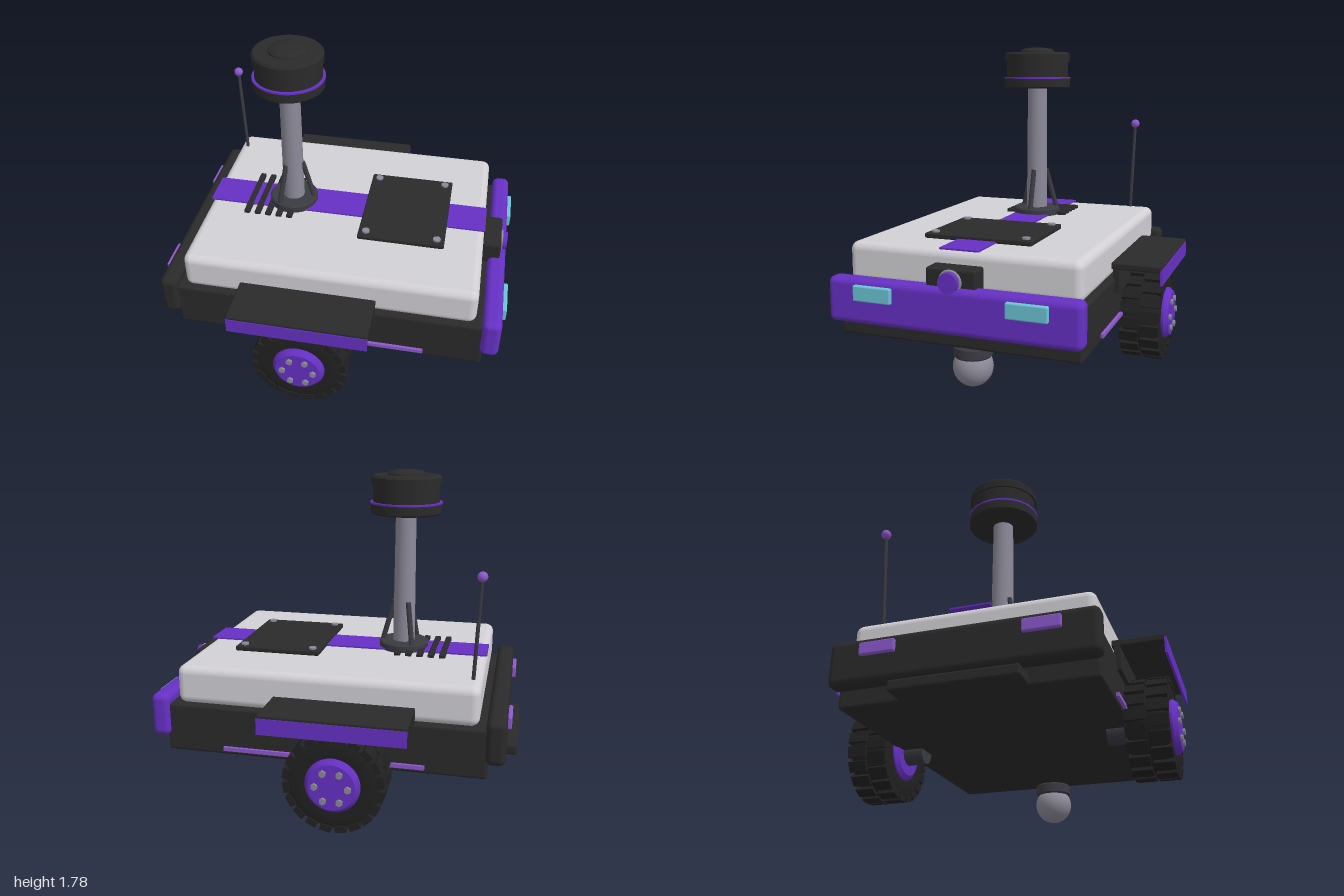
import * as THREE from 'three';
import { RoundedBoxGeometry } from 'three/addons/geometries/RoundedBoxGeometry.js';
import { toCreasedNormals } from 'three/addons/utils/BufferGeometryUtils.js';

export function createModel() {
  const root = new THREE.Group();
  root.name = 'rover';
  const mat = (name, color) => {
    const m = new THREE.MeshStandardMaterial({ color });
    m.name = name;
    return m;
  };
  const dark = mat('charcoal', 0x2a2a2a);
  const rubber = mat('rubber', 0x212121);
  const shell = mat('light grey', 0xd2d0d5);
  const purple = mat('purple', 0x6630c4);
  const violet = mat('light violet', 0x8c58cc);
  const teal = mat('lamp teal', 0x6cc4d6);
  const metal = mat('metal', 0x8c8a98);
  const slate = mat('slate', 0x3a3a42);

  const add = (parent, name, geo, material, x = 0, y = 0, z = 0) => {
    const m = new THREE.Mesh(geo, material);
    m.name = name;
    m.position.set(x, y, z);
    parent.add(m);
    return m;
  };
  // Box given by its extents, optionally with rounded edges
  const box = (name, material, [x0, x1], [y0, y1], [z0, z1], r = 0) => {
    const s = [x1 - x0, y1 - y0, z1 - z0];
    const geo = r ? new RoundedBoxGeometry(...s, 4, r) : new THREE.BoxGeometry(...s);
    return add(root, name, geo, material, (x0 + x1) / 2, (y0 + y1) / 2, (z0 + z1) / 2);
  };
  // Solid of revolution about y with crisp profile corners
  const lathe = (pts, seg = 48) =>
    toCreasedNormals(new THREE.LatheGeometry(pts.map(p => new THREE.Vector2(...p)), seg), 0.6);
  // Round bar between two points
  const bar = (parent, name, material, a, b, r) => {
    const d = b.clone().sub(a);
    const m = add(parent, name, new THREE.CylinderGeometry(r, r, d.length(), 12), material);
    m.position.copy(a).add(b).multiplyScalar(0.5);
    m.quaternion.setFromUnitVectors(new THREE.Vector3(0, 1, 0), d.normalize());
    return m;
  };

  // Body and deck
  box('chassis', dark, [-0.855, 0.89], [0.285, 0.555], [-0.66, 0.66], 0.015);
  box('deckShell', shell, [-0.805, 0.835], [0.553, 0.768], [-0.64, 0.64], 0.045);
  box('deckStripe', purple, [-0.805, 0.838], [0.77, 0.779], [-0.108, 0.108]);
  for (let i = 0; i < 5; i++) {
    const x = -0.56 + i * 0.064;
    box('ventSlot', dark, [x - 0.017, x + 0.017], [0.762, 0.787], [-0.192, 0.192], 0.006);
  }

  // Access panel with corner screws
  box('accessPanel', dark, [0.123, 0.617], [0.768, 0.796], [-0.305, 0.305], 0.008);
  for (const x of [0.168, 0.573]) for (const z of [-0.26, 0.26])
    add(root, 'panelScrew', new THREE.CylinderGeometry(0.022, 0.022, 0.012, 12), metal, x, 0.8, z);

  // Bumpers, step and camera
  box('frontBumper', purple, [0.872, 0.975], [0.37, 0.61], [-0.685, 0.685], 0.035);
  box('rearBumper', dark, [-0.945, -0.842], [0.37, 0.61], [-0.685, 0.685], 0.035);
  box('rearStep', dark, [-1, -0.84], [0.285, 0.342], [-0.325, 0.325], 0.012);
  box('cameraHousing', dark, [0.83, 0.94], [0.57, 0.702], [-0.135, 0.135], 0.014);
  const rim = add(root, 'lensRim', new THREE.TorusGeometry(0.055, 0.008, 10, 32), metal, 0.942, 0.637, 0);
  rim.rotation.y = Math.PI / 2;
  const lens = add(root, 'cameraLens', new THREE.CylinderGeometry(0.052, 0.052, 0.05, 32), purple, 0.95, 0.637, 0);
  lens.rotation.z = Math.PI / 2;

  // Mirrored side parts
  for (const s of [-1, 1]) {
    const zr = (a, b) => (s > 0 ? [a, b] : [-b, -a]);
    box('headLamp', teal, [0.96, 0.997], [0.5, 0.582], zr(0.307, 0.522), 0.008);
    box('tailLamp', violet, [-0.966, -0.935], [0.51, 0.576], zr(0.32, 0.51), 0.008);
    box('sideStrip', violet, [-0.535, 0.565], [0.312, 0.334], zr(0.65, 0.676));
    box('fenderTop', dark, [-0.478, 0.288], [0.602, 0.638], zr(0.63, 0.91), 0.008);
    box('fenderBracket', dark, [-0.478, 0.288], [0.475, 0.62], zr(0.65, 0.682));
    box('fenderSkirt', purple, [-0.478, 0.288], [0.535, 0.622], zr(0.902, 0.914));

    // Wheel, built about +y and turned to face outward
    const wheel = new THREE.Group();
    wheel.name = s > 0 ? 'leftWheel' : 'rightWheel';
    wheel.position.set(-0.097, 0.278, s * 0.766);
    wheel.rotation.x = s * Math.PI / 2;
    root.add(wheel);
    add(wheel, 'tire', lathe([[0.13, -0.1], [0.21, -0.11], [0.238, -0.1], [0.25, -0.08],
      [0.25, 0.08], [0.238, 0.1], [0.21, 0.11], [0.13, 0.1]]), rubber);
    const n = 20;
    for (const row of [-1, 1]) for (let i = 0; i < n; i++) {
      const a = (i + (row > 0 ? 0.5 : 0)) * 2 * Math.PI / n;
      const block = add(wheel, 'treadBlock', new THREE.BoxGeometry(0.035, 0.104, 0.06), rubber,
        Math.cos(a) * 0.249, row * 0.058, Math.sin(a) * 0.249);
      block.rotation.y = -a;
    }
    add(wheel, 'hub', lathe([[0, -0.128], [0.12, -0.128], [0.145, -0.11], [0.145, 0.115],
      [0.125, 0.138], [0, 0.138]]), purple);
    for (let i = 0; i < 6; i++) {
      const a = i * Math.PI / 3;
      add(wheel, 'hubBolt', new THREE.CylinderGeometry(0.019, 0.019, 0.02, 6), metal,
        Math.cos(a) * 0.087, 0.141, Math.sin(a) * 0.087);
    }
    add(wheel, 'axle', new THREE.CylinderGeometry(0.064, 0.064, 0.13, 24), slate, 0, -0.175, 0);
  }

  // Ball caster
  add(root, 'casterCap', lathe([[0, 0.172], [0.098, 0.172], [0.105, 0.18], [0.105, 0.228], [0.098, 0.236], [0, 0.236]]),
    slate, 0.675, 0, 0);
  add(root, 'casterBall', new THREE.SphereGeometry(0.108, 32, 24), metal, 0.675, 0.114, 0);

  // Sensor mast
  const mast = new THREE.Group();
  mast.name = 'sensorMast';
  mast.position.x = -0.315;
  root.add(mast);
  add(mast, 'mastFlange', lathe([[0, 0.765], [0.142, 0.765], [0.142, 0.804], [0.134, 0.812], [0, 0.812]]), slate);
  add(mast, 'mastPole', new THREE.CylinderGeometry(0.058, 0.063, 0.76, 32), metal, 0, 1.185, 0);
  for (let i = 0; i < 3; i++) {
    const a = i * 2 * Math.PI / 3, c = Math.cos(a), d = Math.sin(a);
    bar(mast, 'mastStrut', slate, new THREE.Vector3(c * 0.125, 0.8, d * 0.125),
      new THREE.Vector3(c * 0.058, 1.045, d * 0.058), 0.015);
  }
  add(mast, 'scannerBase', lathe([[0, 1.548], [0.192, 1.548], [0.2, 1.556], [0.2, 1.606], [0, 1.606]]), dark);
  add(mast, 'scannerRing', new THREE.CylinderGeometry(0.203, 0.203, 0.01, 48), purple, 0, 1.61, 0);
  add(mast, 'scannerDrum', new THREE.CylinderGeometry(0.187, 0.187, 0.1, 48), dark, 0, 1.662, 0);
  add(mast, 'scannerCap', lathe([[0, 1.705], [0.197, 1.705], [0.197, 1.75], [0.187, 1.762], [0, 1.762]]), dark);
  add(mast, 'scannerButton', lathe([[0.108, 1.76], [0.104, 1.772], [0.085, 1.784], [0.05, 1.79], [0, 1.79]]), dark);

  // Antenna
  const base = new THREE.Vector3(-0.757, 0.76, -0.498), tip = new THREE.Vector3(-0.782, 1.312, -0.513);
  bar(root, 'antennaRod', slate, base, tip, 0.01);
  add(root, 'antennaBall', new THREE.SphereGeometry(0.027, 20, 14), violet, tip.x, tip.y, tip.z);

  return root;
}
